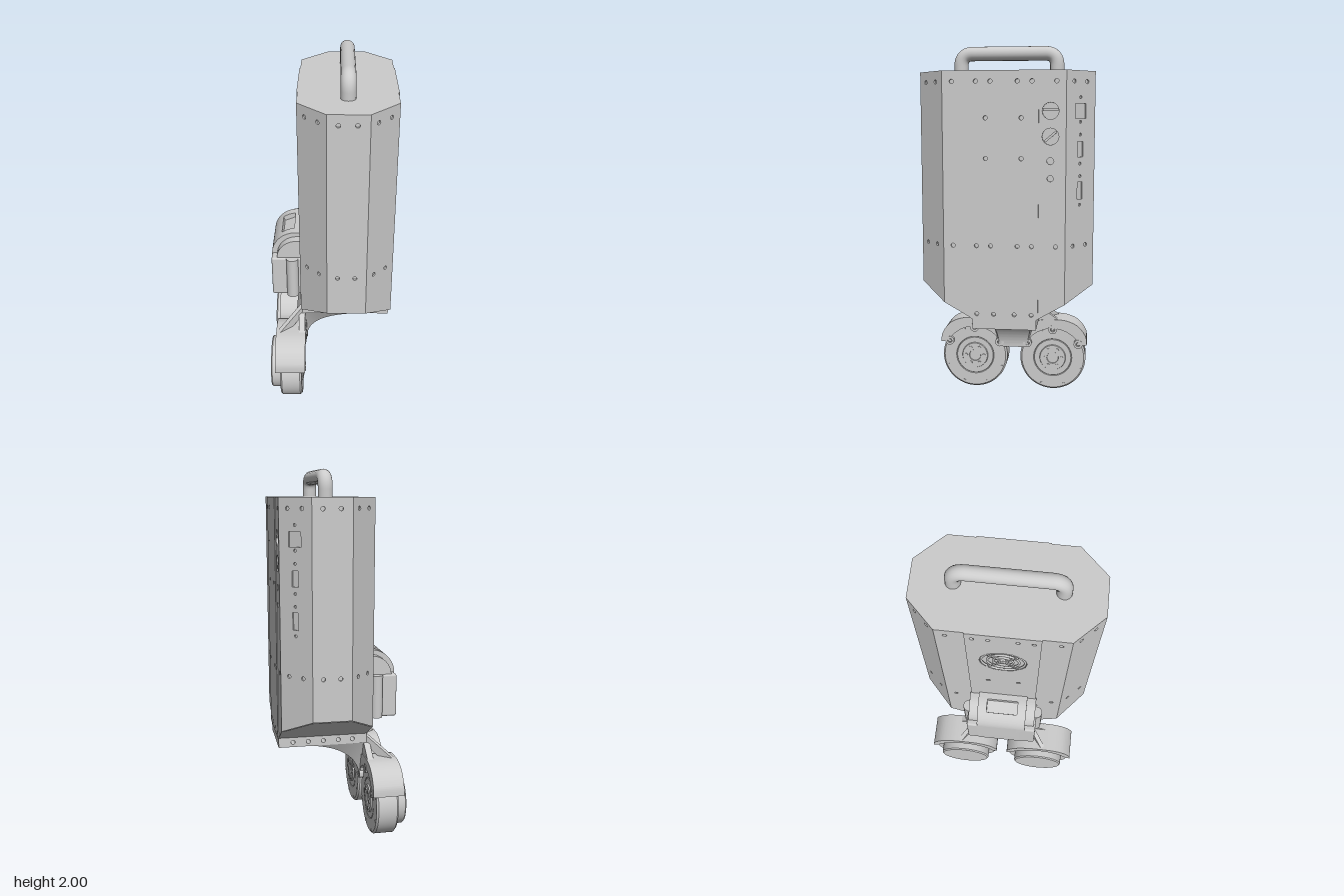
import * as THREE from 'three';
import { toCreasedNormals } from 'three/addons/utils/BufferGeometryUtils.js';
import { RoundedBoxGeometry } from 'three/addons/geometries/RoundedBoxGeometry.js';
import { ConvexGeometry } from 'three/addons/geometries/ConvexGeometry.js';

const mat = new THREE.MeshStandardMaterial({ color: 0xcccccc });
const V2 = (x, y) => new THREE.Vector2(x, y);
const V3 = (x, y, z) => new THREE.Vector3(x, y, z);
const TOP = 1.86;
// height of the body's lower edge: flat in the middle, rising towards both ends
const lowerEdge = z => 0.56 + Math.max(0, Math.abs(z) - 0.17) * 0.576;

function add(parent, name, geo, x = 0, y = 0, z = 0) {
  const m = new THREE.Mesh(geo, mat);
  m.name = name;
  m.position.set(x, y, z);
  parent.add(m);
  return m;
}
const circle = (x, y, r) => new THREE.Path().absarc(x, y, r, 0, Math.PI * 2, true);
const rect = (x, y, w, h) => new THREE.Path([
  V2(x - w / 2, y - h / 2), V2(x - w / 2, y + h / 2), V2(x + w / 2, y + h / 2), V2(x + w / 2, y - h / 2)]);
function extrude(shape, depth, bevel = 0, curveSegments = 8) {
  const g = new THREE.ExtrudeGeometry(shape, {
    depth, curveSegments, bevelEnabled: bevel > 0, bevelSize: bevel, bevelOffset: -bevel, bevelThickness: bevel, bevelSegments: 2 });
  return toCreasedNormals(g, 0.6);
}
// extrude a (z, y) shape along x, from x1 - depth to x1
const extrudeX = (shape, x1, depth, seg = 24) => extrude(shape, depth, 0, seg).rotateY(-Math.PI / 2).translate(x1, 0, 0);
const cylX = (r, len) => new THREE.CylinderGeometry(r, r, len, 20).rotateZ(Math.PI / 2);

// upright wall panel from a to b (x, z corners), with holes in (distance, height)
function panel(parent, name, a, b, holes, lift = 0) {
  const len = a.distanceTo(b), thick = 0.012;
  const pts = [V2(0, lowerEdge(a.y))];
  if (lift) pts.push(V2(0.01, 0.56), V2(len - 0.01, 0.56));
  pts.push(V2(len, lowerEdge(b.y)), V2(len, TOP), V2(0, TOP));
  const shape = new THREE.Shape(pts);
  shape.holes.push(...holes);
  const m = add(parent, name, extrude(shape, thick + lift).translate(0, 0, -thick), a.x, 0, a.y);
  m.rotation.y = Math.atan2(a.y - b.y, b.x - a.x);
}

function buildBody(root) {
  const body = new THREE.Group();
  body.name = 'body';
  root.add(body);
  const octagon = (i) => [[-0.015, 0.465 - i], [0.19, 0.465 - i], [0.335 - i, 0.32], [0.335 - i, -0.32],
    [0.19, -0.465 + i], [-0.015, -0.465 + i], [-0.16 + i, -0.32], [-0.16 + i, 0.32]];
  // inner core behind the panels
  const core = octagon(0.011).flatMap(([x, z]) => [V3(x, lowerEdge(z), z), V3(x, TOP - 0.002, z)]);
  for (const x of [-0.149, 0.324]) for (const z of [-0.17, 0.17]) core.push(V3(x, 0.56, z));
  add(body, 'core', new ConvexGeometry(core));
  const lid = new THREE.Shape(octagon(0).map(([x, z]) => V2(x, -z)));
  add(body, 'lid', extrude(lid, 0.008).rotateX(-Math.PI / 2), 0, TOP - 0.008, 0);

  // screw holes run around the body in two rows
  const rows = us => us.flatMap(u => [0.955, 1.805].map(y => circle(u, y, 0.011)));
  const c = octagon(0).map(p => V2(...p));
  const ports = [rect(0.1, 1.655, 0.075, 0.075), rect(0.1, 1.46, 0.04, 0.08), rect(0.1, 1.245, 0.035, 0.09),
    ...[1.725, 1.6, 1.535, 1.385, 1.32, 1.17].map(y => circle(0.1, y, 0.008))];
  for (const i of [0, 1, 3, 4, 5, 7]) {
    const flat = i % 4 === 0;
    panel(body, flat ? 'endPanel' : 'cornerPanel', c[i], c[(i + 1) % 8],
      [...rows([0.055, 0.145]), ...(i === 3 ? ports : [])]);
  }
  for (const s of [1, -1]) {
    const x = s > 0 ? 0.335 : -0.16;
    const [p0, p1, p2, p3] = [0.32, 0.18, -0.18, -0.32].map(z => V2(x, z * s));
    const sockets = s > 0 ? [circle(0.06, 1.655, 0.043), circle(0.06, 1.525, 0.043),
      circle(0.06, 1.4, 0.018), circle(0.06, 1.31, 0.016)] : [];
    panel(body, 'sidePanel', p0, p1, rows([0.05]));
    panel(body, 'sidePanel', p2, p3, [...rows([0.09]), ...sockets]);
    const mid = rows([0.035, 0.11, 0.25, 0.325]);
    for (const u of [0.035, 0.125, 0.235, 0.325]) mid.push(circle(u, 0.588, 0.011));
    if (s > 0) for (const u of [0.085, 0.27]) mid.push(circle(u, 1.62, 0.011), circle(u, 1.412, 0.011));
    else mid.push(circle(0.18, 1.54, 0.12), circle(0.1, 1.25, 0.011), circle(0.26, 1.25, 0.011));
    panel(body, 'centrePanel', p1, p2, mid, 0.005);
  }
  // socket inserts
  add(body, 'socketInsert', new THREE.BoxGeometry(0.008, 0.012, 0.08), 0.329, 1.66, -0.24);
  add(body, 'socketInsert', new THREE.BoxGeometry(0.008, 0.012, 0.08), 0.329, 1.525, -0.24).rotation.x = 0.7;

  // fan grille
  const fan = new THREE.Group();
  fan.name = 'fanGrille';
  fan.position.set(-0.161, 1.54, 0);
  body.add(fan);
  for (const r of [0.02, 0.05, 0.08, 0.11])
    add(fan, 'grilleRing', new THREE.TorusGeometry(r, 0.006, 8, 40).rotateY(Math.PI / 2));
  for (const a of [1, -1]) add(fan, 'grilleSpoke', new THREE.BoxGeometry(0.008, 0.24, 0.014)).rotation.x = a * Math.PI / 4;
}

function buildHandle(root) {
  const path = new THREE.CurvePath(), y = 1.963, e = 0.26, r = 0.065;
  path.add(new THREE.LineCurve3(V3(0, 1.85, e), V3(0, y - r, e)));
  path.add(new THREE.QuadraticBezierCurve3(V3(0, y - r, e), V3(0, y, e), V3(0, y, e - r)));
  path.add(new THREE.LineCurve3(V3(0, y, e - r), V3(0, y, r - e)));
  path.add(new THREE.QuadraticBezierCurve3(V3(0, y, r - e), V3(0, y, -e), V3(0, y - r, -e)));
  path.add(new THREE.LineCurve3(V3(0, y - r, -e), V3(0, 1.85, -e)));
  add(root, 'handle', new THREE.TubeGeometry(path, 100, 0.038, 20), 0.088);
}

function buildBattery(root) {
  const g = new THREE.Group();
  g.name = 'backPack';
  root.add(g);
  // side profile with a rounded shoulder, optionally notched at the top
  const profile = (x0, y0, top, notch) => {
    const r = top - 0.895, s = new THREE.Shape();
    s.moveTo(-0.158, y0).lineTo(-0.158, top).lineTo(-0.19, top);
    if (notch) s.lineTo(-0.2, top).lineTo(-0.2, top - 0.025).lineTo(-0.262, top - 0.05);
    s.absarc(x0 + r, 0.895, r, notch ? 2.2 : Math.PI / 2, Math.PI, false);
    s.lineTo(x0, y0);
    return s;
  };
  const full = profile(-0.325, 0.66, 1.03), open = profile(-0.325, 0.66, 1.03, true);
  add(g, 'packMiddle', extrude(open, 0.17, 0, 24), 0, 0, -0.085);
  for (const s of [1, -1]) {
    add(g, 'packEnd', extrude(full, 0.05, 0, 24), 0, 0, s * 0.11 - 0.025);
    add(g, 'packShoulder', extrude(profile(-0.295, 0.7, 1.005), 0.05, 0, 24), 0, 0, s * 0.16 - 0.025);
    add(g, 'packWing', new RoundedBoxGeometry(0.165, 0.24, 0.1, 3, 0.012), -0.2425, 0.78, s * 0.145);
    add(g, 'packRib', new THREE.CylinderGeometry(0.033, 0.033, 0.24, 24), -0.21, 0.78, s * 0.193);
  }
}

function buildBracket(root) {
  const g = new THREE.Group();
  g.name = 'wheelBracket';
  root.add(g);
  // drilled mounting plate under the body
  const plate = new THREE.Shape([V2(-0.16, 0.505), V2(0.335, 0.505), V2(0.335, 0.562), V2(-0.16, 0.562)]);
  for (const x of [-0.08, 0, 0.085, 0.17, 0.255]) plate.holes.push(circle(x, 0.532, 0.012));
  add(g, 'mountPlate', extrude(plate, 0.34), 0, 0, -0.17);
  // swept neck, narrowing in z as it drops
  const neck = new THREE.Shape();
  neck.moveTo(-0.2, 0.265).lineTo(-0.14, 0.265);
  neck.absellipse(0.2, 0.265, 0.34, 0.242, Math.PI, Math.PI / 2, true);
  neck.lineTo(-0.16, 0.515).lineTo(-0.2, 0.44);
  const geo = new THREE.ExtrudeGeometry(neck, { depth: 2, bevelEnabled: false, curveSegments: 28 }).translate(0, 0, -1);
  const p = geo.attributes.position;
  for (let i = 0; i < p.count; i++) {
    const t = THREE.MathUtils.clamp((p.getY(i) - 0.265) / 0.24, 0, 1);
    p.setZ(i, p.getZ(i) * (0.085 + 0.085 * t * t));
  }
  add(g, 'neck', toCreasedNormals(geo, 0.6));
  // web between the wheels
  const web = new THREE.Shape([V2(-0.07, 0.265), V2(0.07, 0.265), V2(0.09, 0.34), V2(0.2, 0.42), V2(0.27, 0.435),
    V2(0.17, 0.505), V2(-0.17, 0.505), V2(-0.27, 0.435), V2(-0.2, 0.42), V2(-0.09, 0.34)]);
  add(g, 'web', extrudeX(web, -0.145, 0.035));
  // slanted struts from the plate to the wheel housings
  for (const s of [1, -1]) {
    const a = V3(-0.15, 0.53, s * 0.14), b = V3(-0.285, 0.415, s * 0.25);
    const strut = add(g, 'strut', new THREE.BoxGeometry(0.025, 0.05, a.distanceTo(b)));
    strut.position.copy(a).lerp(b, 0.5);
    strut.lookAt(b);
  }
}

function buildWheel(root, s) {
  const g = new THREE.Group();
  g.name = s > 0 ? 'frontWheel' : 'rearWheel';
  g.position.set(0, 0.2, s * 0.235);
  root.add(g);
  // motor cover, tyre and grooved hub face in one turned profile
  const turned = [[0, -0.34], [0.143, -0.34], [0.15, -0.333], [0.15, -0.285], [0.185, -0.285], [0.196, -0.275],
    [0.196, -0.172], [0.186, -0.162], [0.115, -0.162], [0.112, -0.167], [0.109, -0.162], [0.078, -0.162],
    [0.075, -0.154], [0.035, -0.154], [0.033, -0.16], [0, -0.16]].map(q => V2(...q));
  add(g, 'wheel', toCreasedNormals(new THREE.LatheGeometry(turned, 64).rotateZ(-Math.PI / 2), 0.5));
  for (let i = 0; i < 6; i++) {
    const a = i * Math.PI / 3;
    add(g, 'hubBolt', cylX(0.01, 0.01), -0.153, Math.sin(a) * 0.054, Math.cos(a) * 0.054);
  }
  for (let i = 0; i < 8; i++) {
    const a = (i + 0.5) * Math.PI / 4;
    add(g, 'rimBolt', cylX(0.007, 0.006), -0.162, Math.sin(a) * 0.175, Math.cos(a) * 0.175);
  }
  // housing over the top of the wheel, with a lip on the inner face
  const arch = (inner) => {
    const a = Math.asin(0.085 / inner), sh = new THREE.Shape();
    sh.moveTo(Math.cos(a) * inner, 0.085).lineTo(0.203, 0.085);
    sh.splineThru([[0.195, 0.14], [0.15, 0.2], [0.08, 0.232], [0, 0.238], [-0.08, 0.232], [-0.15, 0.2],
      [-0.195, 0.14], [-0.203, 0.085]].map(q => V2(...q)));
    sh.lineTo(-Math.cos(a) * inner, 0.085);
    sh.absarc(0, 0, inner, Math.PI - a, a, true);
    return sh;
  };
  add(g, 'housing', extrudeX(arch(0.197), -0.14, 0.17));
  add(g, 'housingLip', extrudeX(arch(0.183), -0.14, 0.02));
  for (const a of [31, 90, 149].map(THREE.MathUtils.degToRad)) {
    const y = Math.sin(a) * 0.177, z = Math.cos(a) * 0.177;
    const lug = new THREE.Shape().absarc(0, 0, 0.026, 0, Math.PI * 2);
    lug.holes.push(circle(0, 0, 0.013));
    add(g, 'lug', extrudeX(lug, -0.137, 0.024), 0, y, z);
    add(g, 'lugBolt', cylX(0.009, 0.014), -0.148, y, z);
  }
}

export function createModel() {
  const root = new THREE.Group();
  root.name = 'wheeledCase';
  buildBody(root);
  buildHandle(root);
  buildBattery(root);
  buildBracket(root);
  for (const s of [1, -1]) buildWheel(root, s);
  return root;
}
